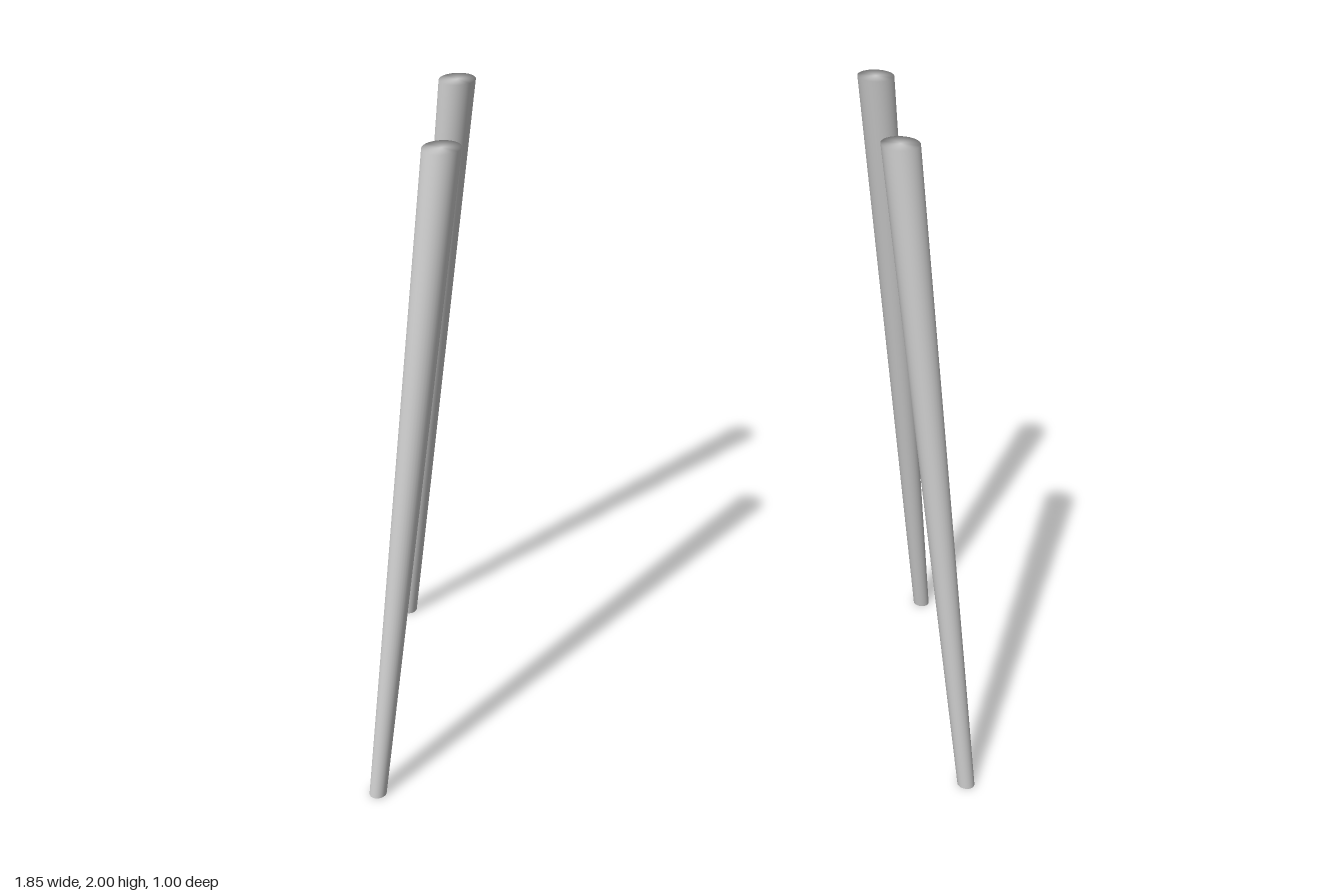
import * as THREE from 'three';
import { mergeVertices } from 'three/addons/utils/BufferGeometryUtils.js';

const HEIGHT = 2;
const TOP = { x: 0.598, z: 0.265, r: 0.053 };
const FOOT = { x: 0.898, z: 0.476, r: 0.026 };

// Tapered leg, sheared outward so both ends stay level, with one smooth skin over the ends
function legGeometry(sx, sz) {
  let geo = new THREE.CylinderGeometry(TOP.r, FOOT.r, HEIGHT, 32);
  geo.translate(0, HEIGHT / 2, 0);
  const pos = geo.attributes.position;
  for (let i = 0; i < pos.count; i++) {
    const t = pos.getY(i) / HEIGHT;
    pos.setX(i, pos.getX(i) + sx * THREE.MathUtils.lerp(FOOT.x, TOP.x, t));
    pos.setZ(i, pos.getZ(i) + sz * THREE.MathUtils.lerp(FOOT.z, TOP.z, t));
  }
  geo.deleteAttribute('normal');
  geo.deleteAttribute('uv');
  geo = mergeVertices(geo, 1e-5);
  geo.computeVertexNormals();
  return geo;
}

export function createModel() {
  const group = new THREE.Group();
  group.name = 'splayedLegs';
  const material = new THREE.MeshStandardMaterial({ color: 0xcccccc });

  // Four legs, one in each corner
  for (const sz of [1, -1]) {
    for (const sx of [1, -1]) {
      const leg = new THREE.Mesh(legGeometry(sx, sz), material);
      leg.name = (sz > 0 ? 'front' : 'back') + (sx > 0 ? 'Left' : 'Right') + 'Leg';
      group.add(leg);
    }
  }
  return group;
}
